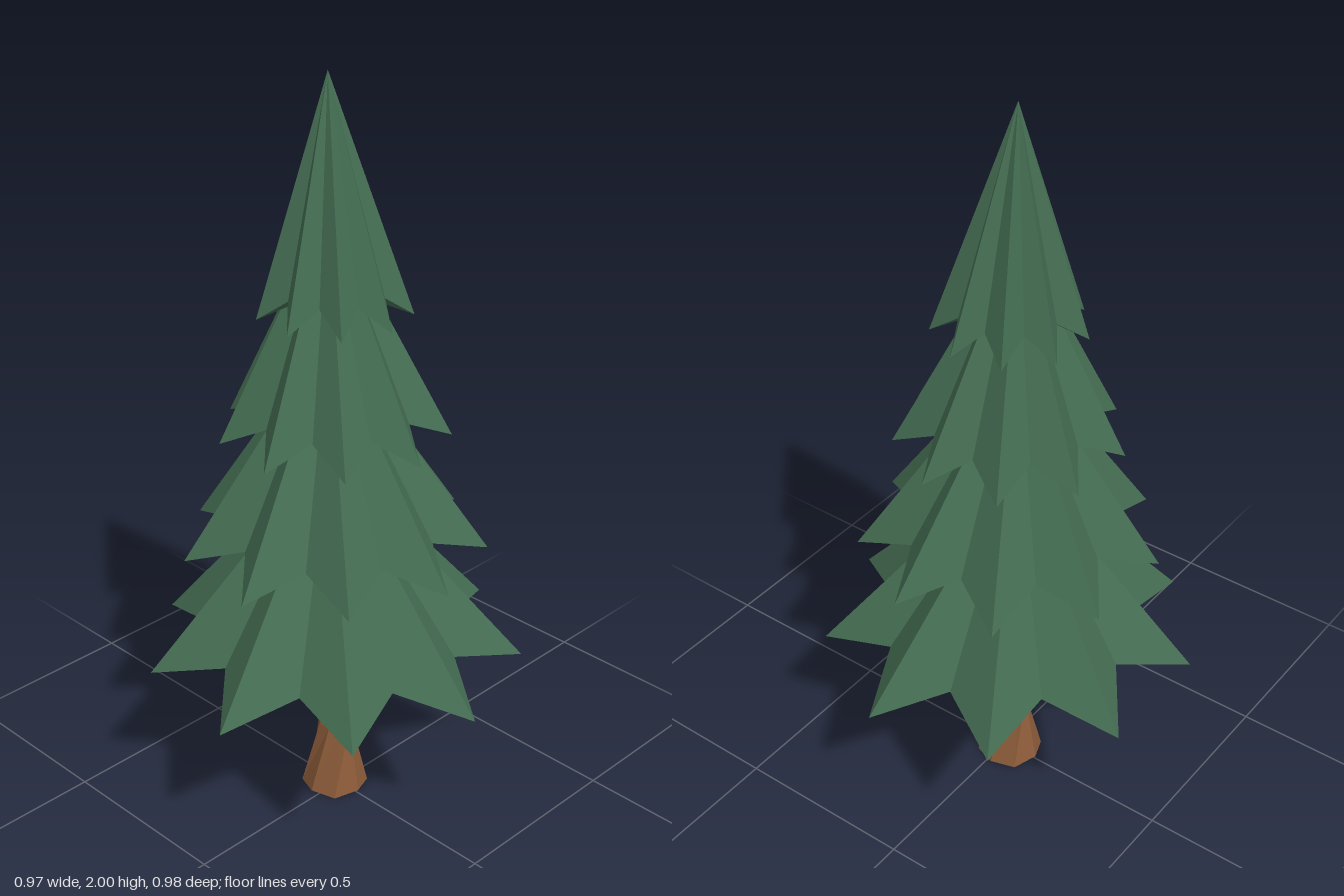
import * as THREE from 'three';

const CENTRE_X = -0.017;
const APEX_X = -0.037;

// Flat-shaded mesh from a list of corner triples
function facetedMesh(name, corners, material) {
  const geometry = new THREE.BufferGeometry().setFromPoints(corners);
  geometry.computeVertexNormals();
  const mesh = new THREE.Mesh(geometry, material);
  mesh.name = name;
  return mesh;
}

function ringPoint(radius, y, angle) {
  return new THREE.Vector3(CENTRE_X + radius * Math.cos(angle), y, radius * Math.sin(angle));
}

// Nine-pointed star cone: drooping tips, raised valleys, closed underneath
function foliageTier(name, radius, tipY, apexY, material) {
  const points = 9;
  const valleyY = tipY + 0.058;
  const rim = [];
  for (let i = 0; i < points * 2; i++) {
    const isTip = i % 2 === 0;
    rim.push(ringPoint(isTip ? radius : radius * 0.689, isTip ? tipY : valleyY, (i * Math.PI) / points));
  }
  const apex = new THREE.Vector3(APEX_X, apexY, 0);
  const hub = new THREE.Vector3(CENTRE_X, valleyY + 0.005, 0);
  const corners = [];
  rim.forEach((a, i) => {
    const b = rim[(i + 1) % rim.length];
    corners.push(apex, b, a, hub, a, b);
  });
  return facetedMesh(name, corners, material);
}

// Eight-sided trunk, pinched and twisted between its rings
function twistedTrunk(material) {
  const sides = 8;
  const levels = [ // height, radius, twist in degrees
    [0.008, 0.09, 0],
    [0.2, 0.045, 25],
    [0.43, 0.071, 105],
    [0.52, 0.068, 105],
  ];
  const rings = levels.map(([y, radius, twist]) =>
    Array.from({ length: sides }, (_, i) =>
      ringPoint(radius, y, (i / sides) * Math.PI * 2 - THREE.MathUtils.degToRad(twist))));
  rings[0].forEach((p, i) => { p.y = i % 2 ? 0 : 0.008; });
  const foot = new THREE.Vector3(CENTRE_X, 0.004, 0);
  const corners = [];
  for (let i = 0; i < sides; i++) {
    const j = (i + 1) % sides;
    corners.push(foot, rings[0][i], rings[0][j]);
    for (let k = 0; k < rings.length - 1; k++) {
      const a = rings[k][i], b = rings[k][j], c = rings[k + 1][i], d = rings[k + 1][j];
      corners.push(c, b, a, c, d, b);
    }
  }
  return facetedMesh('trunk', corners, material);
}

export function createModel() {
  const green = new THREE.MeshStandardMaterial({ color: 0x446d52 });
  green.name = 'needleGreen';
  const brown = new THREE.MeshStandardMaterial({ color: 0x8a5a38 });
  brown.name = 'barkBrown';

  const tree = new THREE.Group();
  tree.name = 'pineTree';
  tree.add(twistedTrunk(brown));

  // Four tiers, shrinking upwards
  const tiers = [
    ['bottomTier', 0.498, 0.44, 1.02],
    ['lowerTier', 0.397, 0.762, 1.345],
    ['upperTier', 0.296, 1.083, 1.67],
    ['topTier', 0.196, 1.405, 2.0],
  ];
  for (const [name, radius, tipY, apexY] of tiers) {
    tree.add(foliageTier(name, radius, tipY, apexY, green));
  }
  return tree;
}
